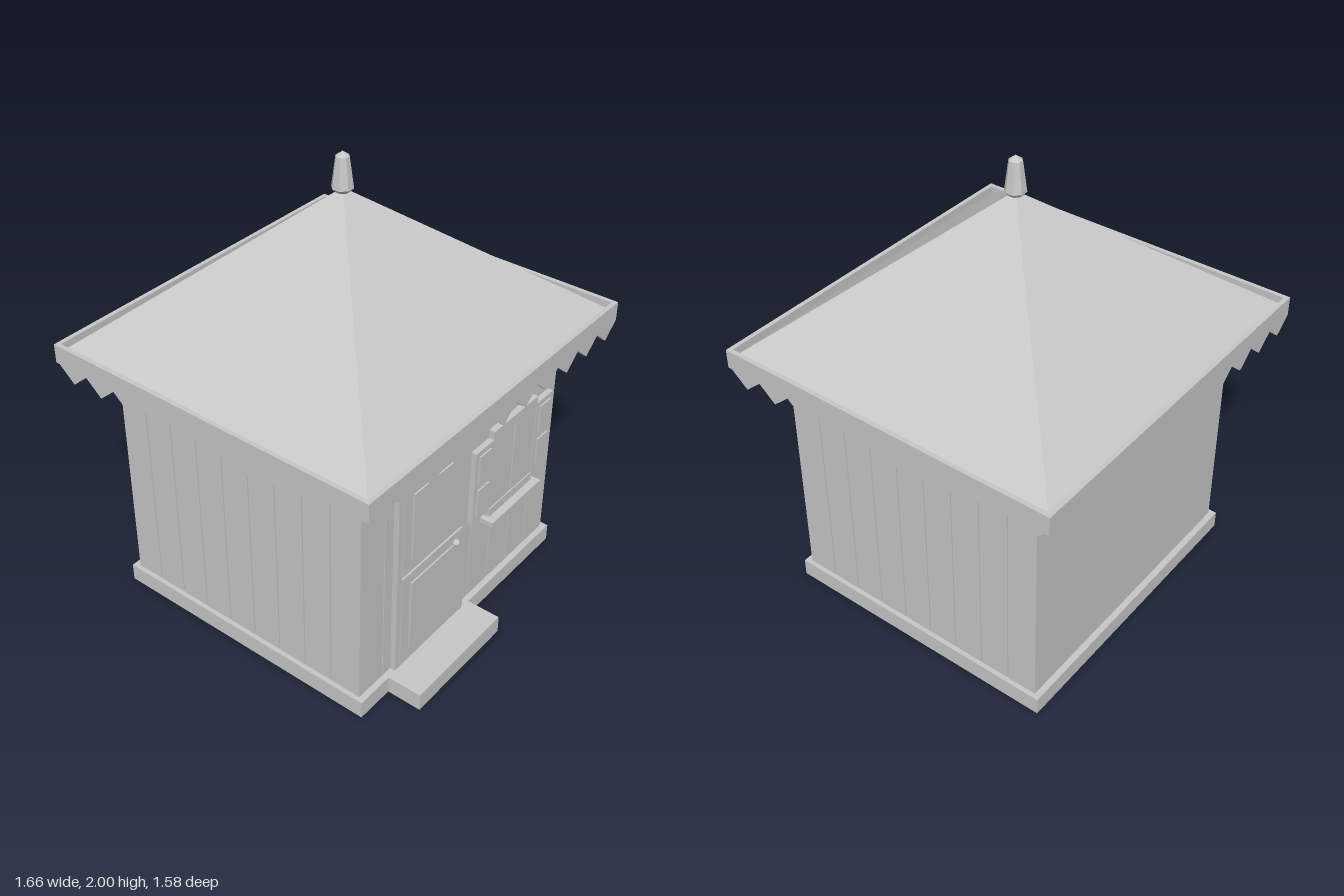
import * as THREE from 'three';

export function createModel() {
  const hut = new THREE.Group();
  hut.name = 'gardenHut';
  const grey = new THREE.MeshStandardMaterial({ color: 0xc8c8c8 });
  grey.name = 'plain grey';

  function add(name, geometry, parent = hut) {
    const mesh = new THREE.Mesh(geometry, grey);
    mesh.name = name;
    parent.add(mesh);
    return mesh;
  }
  // Box given by its limits on each axis
  function box(name, x0, x1, y0, y1, z0, z1, parent = hut) {
    const mesh = add(name, new THREE.BoxGeometry(x1 - x0, y1 - y0, z1 - z0), parent);
    mesh.position.set((x0 + x1) / 2, (y0 + y1) / 2, (z0 + z1) / 2);
    return mesh;
  }
  function faceted(geometry) {
    const flat = geometry.toNonIndexed();
    flat.computeVertexNormals();
    return flat;
  }

  // Base and doorstep
  box('base', -0.685, 0.685, 0, 0.08, -0.64, 0.64);
  box('doorstep', -0.51, 0.05, 0, 0.08, 0.64, 0.795);

  // Walls: a plain core with grooved planks on the front and both sides
  const wallTop = 1.215, skin = 0.008, gap = 0.005;
  box('wallCore', -0.665 + skin, 0.665 - skin, 0.08, wallTop, -0.612, 0.613 - skin);
  const planks = new THREE.Group();
  planks.name = 'wallPlanks';
  hut.add(planks);
  for (let i = 0; i < 9; i++) {
    const a = i / 9, b = (i + 1) / 9;
    const g0 = i === 0 ? 0 : gap / 2, g1 = i === 8 ? 0 : gap / 2;
    box('frontPlank', -0.665 + 1.33 * a + g0, -0.665 + 1.33 * b - g1,
      0.08, wallTop, 0.613 - skin, 0.613, planks);
    const z0 = -0.612 + (1.225 - skin) * a + g0, z1 = -0.612 + (1.225 - skin) * b - g1;
    box('leftPlank', 0.665 - skin, 0.665, 0.08, wallTop, z0, z1, planks);
    box('rightPlank', -0.665, -0.665 + skin, 0.08, wallTop, z0, z1, planks);
  }

  // Pyramid roof, closed underneath
  const roofGeo = new THREE.ConeGeometry(Math.SQRT2, 1, 4, 1);
  roofGeo.rotateY(Math.PI / 4);
  roofGeo.scale(0.81, 0.635, 0.762);
  const roof = add('roof', faceted(roofGeo));
  roof.position.set(0, 1.215 + 0.635 / 2, -0.005);

  // Fascia boards with a zigzag lower edge
  function fascia(name, length, teeth) {
    const shape = new THREE.Shape();
    const step = length / teeth;
    shape.moveTo(-length / 2, 1.25);
    shape.lineTo(-length / 2, 1.165);
    for (let i = 0; i < teeth; i++) {
      shape.lineTo(-length / 2 + (i + 0.5) * step, 1.1);
      shape.lineTo(-length / 2 + (i + 1) * step, 1.165);
    }
    shape.lineTo(length / 2, 1.25);
    return add(name, new THREE.ExtrudeGeometry(shape, { depth: 0.02, bevelEnabled: false }));
  }
  fascia('frontFascia', 1.66, 11).position.z = 0.755;
  fascia('backFascia', 1.66, 11).position.z = -0.785;
  for (const side of [-1, 1]) {
    const board = fascia(side > 0 ? 'leftFascia' : 'rightFascia', 1.52, 10);
    board.rotation.y = side * Math.PI / 2;
    board.position.set(side * 0.81, 0, -0.005);
  }

  // Finial on the peak
  const profile = [[0, 1.835], [0.03, 1.836], [0.045, 1.852], [0.028, 1.98], [0, 2]]
    .map(([x, y]) => new THREE.Vector2(x, y));
  const finial = add('finial', faceted(new THREE.LatheGeometry(profile, 8, Math.PI / 8)));
  finial.position.z = -0.005;

  // Two-part door in its frame
  const door = new THREE.Group();
  door.name = 'door';
  hut.add(door);
  box('frameRightPost', -0.465, -0.435, 0.08, 1.03, 0.61, 0.637, door);
  box('frameLeftPost', -0.03, 0.005, 0.08, 1.03, 0.61, 0.637, door);
  box('frameLintel', -0.435, -0.03, 0.99, 1.03, 0.61, 0.637, door);
  box('doorGap', -0.435, -0.03, 0.08, 0.99, 0.61, 0.618, door);
  for (const [name, y0, y1] of [['upper', 0.558, 0.988], ['lower', 0.083, 0.545]]) {
    box(name + 'DoorLeaf', -0.433, -0.032, y0, y1, 0.615, 0.638, door);
    box(name + 'DoorPanel', -0.38, -0.085, y0 + 0.055, y1 - 0.05, 0.638, 0.645, door);
  }
  const knob = add('doorKnob', new THREE.SphereGeometry(0.017, 12, 8), door);
  knob.position.set(-0.08, 0.5, 0.645);

  // Window with closed centre boards, side shutters and a sill
  const win = new THREE.Group();
  win.name = 'window';
  hut.add(win);
  box('windowBoards', 0.165, 0.485, 0.47, 0.91, 0.61, 0.628, win);
  box('windowTopRail', 0.165, 0.485, 0.87, 0.91, 0.628, 0.64, win);
  box('windowBottomRail', 0.165, 0.485, 0.47, 0.51, 0.628, 0.64, win);
  box('windowSill', 0.14, 0.51, 0.445, 0.47, 0.61, 0.675, win);
  for (const side of [-1, 1]) {
    const cx = 0.325;
    const pair = (name, a, b, y0, y1, z0, z1) => box(name,
      cx + Math.min(side * a, side * b), cx + Math.max(side * a, side * b), y0, y1, z0, z1, win);
    pair('windowPane', 0.004, 0.158, 0.512, 0.868, 0.628, 0.636);
    pair('shutter', 0.16, 0.285, 0.51, 0.87, 0.61, 0.638);
    for (const y of [0.535, 0.705])
      pair('shutterPanel', 0.183, 0.262, y, y + 0.14, 0.638, 0.645);
  }
  return hut;
}
